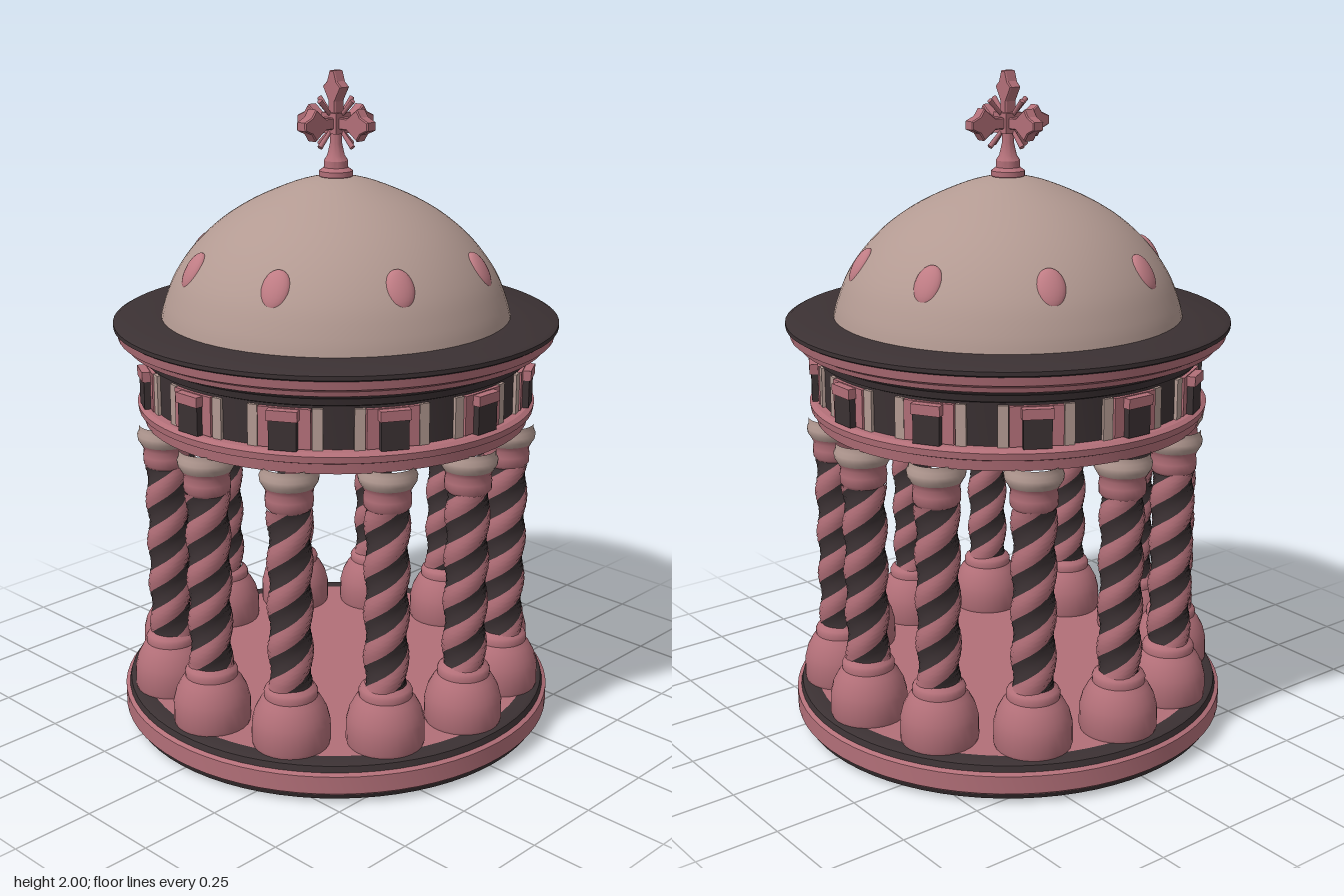
import * as THREE from 'three';
import { toCreasedNormals } from 'three/addons/utils/BufferGeometryUtils.js';

const paint = (name, color) => {
  const m = new THREE.MeshStandardMaterial({ color });
  m.name = name;
  return m;
};

export function createModel() {
  const pink = paint('rose pink', 0xb26f78);
  const dark = paint('charcoal', 0x3b3133);
  const beige = paint('dusty beige', 0xb39a92);
  const blush = paint('light pink', 0xbf7c84);
  const model = new THREE.Group();
  model.name = 'rotunda';

  const add = (parent, name, geometry, material, x = 0, y = 0, z = 0) => {
    const mesh = new THREE.Mesh(geometry, material);
    mesh.name = name;
    mesh.position.set(x, y, z);
    parent.add(mesh);
    return mesh;
  };
  // Profile of [radius, height] pairs, listed upward, with sharp edges kept
  const lathe = (points, segments = 72, crease = 0.5) => toCreasedNormals(
    new THREE.LatheGeometry(points.map(([r, y]) => new THREE.Vector2(r, y)), segments), crease);

  // Round base
  add(model, 'baseUnderside', lathe([[0, 0.005], [0.6, 0], [0.655, 0.012], [0.662, 0.028]]), dark);
  add(model, 'baseBand', lathe([[0.662, 0.028], [0.672, 0.036], [0.672, 0.09], [0.66, 0.097]]), pink);
  add(model, 'baseRim', lathe([[0.66, 0.097], [0.655, 0.115], [0.645, 0.12], [0.605, 0.12]]), dark);
  add(model, 'floor', lathe([[0.605, 0.12], [0, 0.12]]), pink);

  // Column parts, shared by all twelve columns
  const foot = lathe([[0.112, 0.118], [0.116, 0.13], [0.115, 0.19], [0.111, 0.205], [0.106, 0.225],
    [0.09, 0.255], [0.078, 0.27], [0.079, 0.285], [0.074, 0.295], [0.06, 0.305]], 28, 0.7);
  const neck = lathe([[0.06, 0.845], [0.068, 0.855], [0.069, 0.88], [0.066, 0.9], [0.074, 0.915]], 28, 0.7);
  const capital = lathe([[0.074, 0.915], [0.083, 0.93], [0.085, 0.945], [0.079, 0.958], [0.078, 0.975]], 28, 0.7);
  const shaft = twistedShaft(0.3, 0.85);

  const COUNT = 12;
  for (let i = 0; i < COUNT; i++) {
    const column = new THREE.Group();
    column.name = 'column';
    const a = (i / COUNT) * Math.PI * 2;
    column.position.set(0.53 * Math.sin(a), 0, 0.53 * Math.cos(a));
    column.rotation.y = a;
    add(column, 'columnFoot', foot, pink);
    add(column, 'columnShaft', shaft, [dark, pink]);
    add(column, 'columnNeck', neck, pink);
    add(column, 'columnCapital', capital, beige);
    model.add(column);
  }

  // Ring beam and frieze drum
  add(model, 'ringBeam', lathe([[0, 0.97], [0.583, 0.97], [0.587, 1.0], [0.6, 1.005], [0.603, 1.025], [0.59, 1.034], [0.56, 1.036]]), pink);
  add(model, 'friezeDrum', lathe([[0.568, 1.03], [0.568, 1.16], [0.58, 1.165], [0.585, 1.185], [0.615, 1.2]]), dark);

  // Frieze bays, one above each column
  const plate = new THREE.BoxGeometry(0.15, 0.115, 0.02);
  const block = new THREE.BoxGeometry(0.08, 0.085, 0.04);
  const cap = new THREE.BoxGeometry(0.088, 0.03, 0.045);
  const strip = new THREE.BoxGeometry(0.03, 0.12, 0.02);
  for (let i = 0; i < COUNT; i++) {
    const bay = new THREE.Group();
    bay.name = 'friezeBay';
    bay.rotation.y = (i / COUNT) * Math.PI * 2;
    add(bay, 'bayPlate', plate, pink, 0, 1.095, 0.567);
    add(bay, 'bayBlock', block, dark, 0, 1.078, 0.576);
    add(bay, 'bayCap', cap, pink, 0, 1.135, 0.579);
    for (const s of [-1, 1]) {
      const mesh = add(bay, 'bayStrip', strip, beige, s * 0.091, 1.094, 0.56);
      mesh.rotation.y = s * 0.16;
    }
    model.add(bay);
  }

  // Cornice
  add(model, 'corniceMoulding', lathe([[0.585, 1.19], [0.63, 1.205], [0.635, 1.22], [0.655, 1.23], [0.66, 1.255]]), pink);
  add(model, 'corniceTop', lathe([[0.66, 1.255], [0.668, 1.26], [0.668, 1.272], [0.655, 1.279], [0.5, 1.284]]), dark);

  // Dome
  const domeCurve = new THREE.SplineCurve([[0.525, 1.28], [0.512, 1.33], [0.478, 1.41], [0.42, 1.49],
    [0.345, 1.56], [0.25, 1.62], [0.13, 1.672], [0.05, 1.693], [0, 1.698]].map(p => new THREE.Vector2(...p)));
  add(model, 'dome', new THREE.LatheGeometry(domeCurve.getPoints(32), 64), beige);

  // Rounded bosses around the dome
  const boss = new THREE.SphereGeometry(1, 20, 14).scale(0.043, 0.06, 0.022);
  for (let i = 0; i < 8; i++) {
    const arm = new THREE.Group();
    arm.name = 'domeBoss';
    arm.rotation.y = (i + 0.5) * Math.PI / 4;
    add(arm, 'boss', boss, blush, 0, 1.445, 0.446).rotation.x = -0.52;
    model.add(arm);
  }

  // Finial: collar, stem and flared arms in two crossing planes
  const finial = new THREE.Group();
  finial.name = 'finial';
  finial.position.y = 1.85;
  model.add(finial);
  add(finial, 'finialCollar', lathe([[0.04, -0.165], [0.05, -0.155], [0.05, -0.14], [0.036, -0.13], [0.036, -0.11],
    [0.026, -0.095], [0.018, -0.06], [0.018, 0]], 20), pink);
  add(finial, 'finialCore', new THREE.BoxGeometry(0.06, 0.06, 0.06), pink);

  const outline = new THREE.Shape([[0.01, -0.014], [0.06, -0.014], [0.098, -0.042], [0.112, -0.022], [0.14, -0.01],
    [0.14, 0.01], [0.112, 0.022], [0.098, 0.042], [0.06, 0.014], [0.01, 0.014]].map(p => new THREE.Vector2(...p)));
  const armGeometry = new THREE.ExtrudeGeometry(outline, {
    depth: 0.03, bevelEnabled: true, bevelThickness: 0.004, bevelSize: 0.003, bevelSegments: 1 }).translate(0, 0, -0.015);
  for (let i = 0; i < 4; i++) add(finial, 'finialArm', armGeometry, pink).rotation.y = i * Math.PI / 2;
  const topArm = add(finial, 'finialTopArm', armGeometry, pink);
  topArm.rotation.z = Math.PI / 2;
  topArm.scale.set(1.05, 0.8, 1);

  // Thin diagonal rays between the arms
  const ray = new THREE.CylinderGeometry(0.008, 0.005, 0.085, 8).translate(0, 0.0525, 0);
  for (let plane = 0; plane < 2; plane++) {
    const rays = new THREE.Group();
    rays.name = 'finialRays';
    rays.rotation.y = plane * Math.PI / 2;
    for (let i = 0; i < 4; i++) add(rays, 'ray', ray, pink).rotation.z = (i + 0.5) * Math.PI / 2;
    finial.add(rays);
  }
  return model;
}

// Shaft whose grid follows a double helix: recessed dark bands between raised pink ones
function twistedShaft(y0, y1) {
  const around = 24, rows = 32, pitch = 0.27;
  const positions = [], bands = [[], []];
  for (let v = 0; v <= rows; v++) {
    const y = y0 + (y1 - y0) * v / rows;
    for (let u = 0; u < around; u++) {
      const t = u / around * Math.PI * 2;
      const angle = t + (y - y0) / pitch * Math.PI * 2;
      const r = 0.063 - 0.005 * Math.sin(2 * t);
      positions.push(r * Math.sin(angle), y, r * Math.cos(angle));
    }
  }
  for (let v = 0; v < rows; v++) {
    for (let u = 0; u < around; u++) {
      const n = (u + 1) % around;
      const a = v * around + u, b = v * around + n, c = b + around, d = a + around;
      bands[u % 12 < 6 ? 0 : 1].push(a, b, c, a, c, d);
    }
  }
  const geometry = new THREE.BufferGeometry();
  geometry.setAttribute('position', new THREE.Float32BufferAttribute(positions, 3));
  geometry.setIndex([...bands[0], ...bands[1]]);
  geometry.addGroup(0, bands[0].length, 0);
  geometry.addGroup(bands[0].length, bands[1].length, 1);
  geometry.computeVertexNormals();
  return geometry;
}
